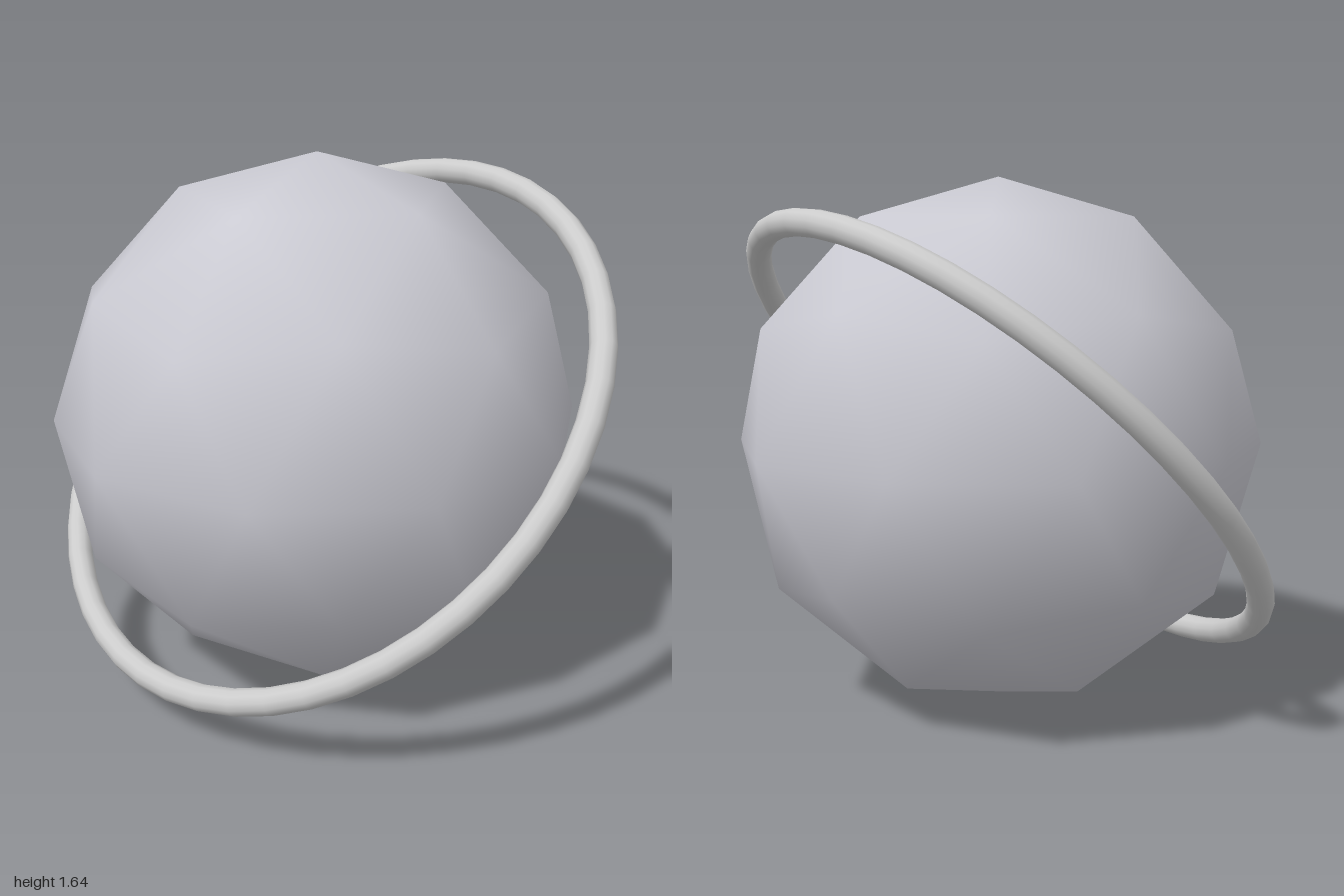
import * as THREE from 'three';

const RADIUS = 0.82;

export function createModel() {
  const model = new THREE.Group();

  // Faceted globe with smooth normals, turned so that a corner points straight up
  const globeGeometry = new THREE.IcosahedronGeometry(RADIUS, 1);
  const goldenRatio = (1 + Math.sqrt(5)) / 2;
  globeGeometry.rotateZ(-Math.atan(1 / goldenRatio));
  const globe = new THREE.Mesh(globeGeometry, new THREE.MeshStandardMaterial({ color: 0xcacad2 }));
  globe.name = 'globe';
  globe.position.y = RADIUS;
  model.add(globe);

  // Thin ring around the globe, high at the back and low at the front
  const ring = new THREE.Mesh(
    new THREE.TorusGeometry(0.96, 0.04, 12, 48),
    new THREE.MeshStandardMaterial({ color: 0xcccccc })
  );
  ring.name = 'ring';
  ring.position.y = RADIUS;
  ring.rotation.x = -Math.PI / 4;
  model.add(ring);

  return model;
}
